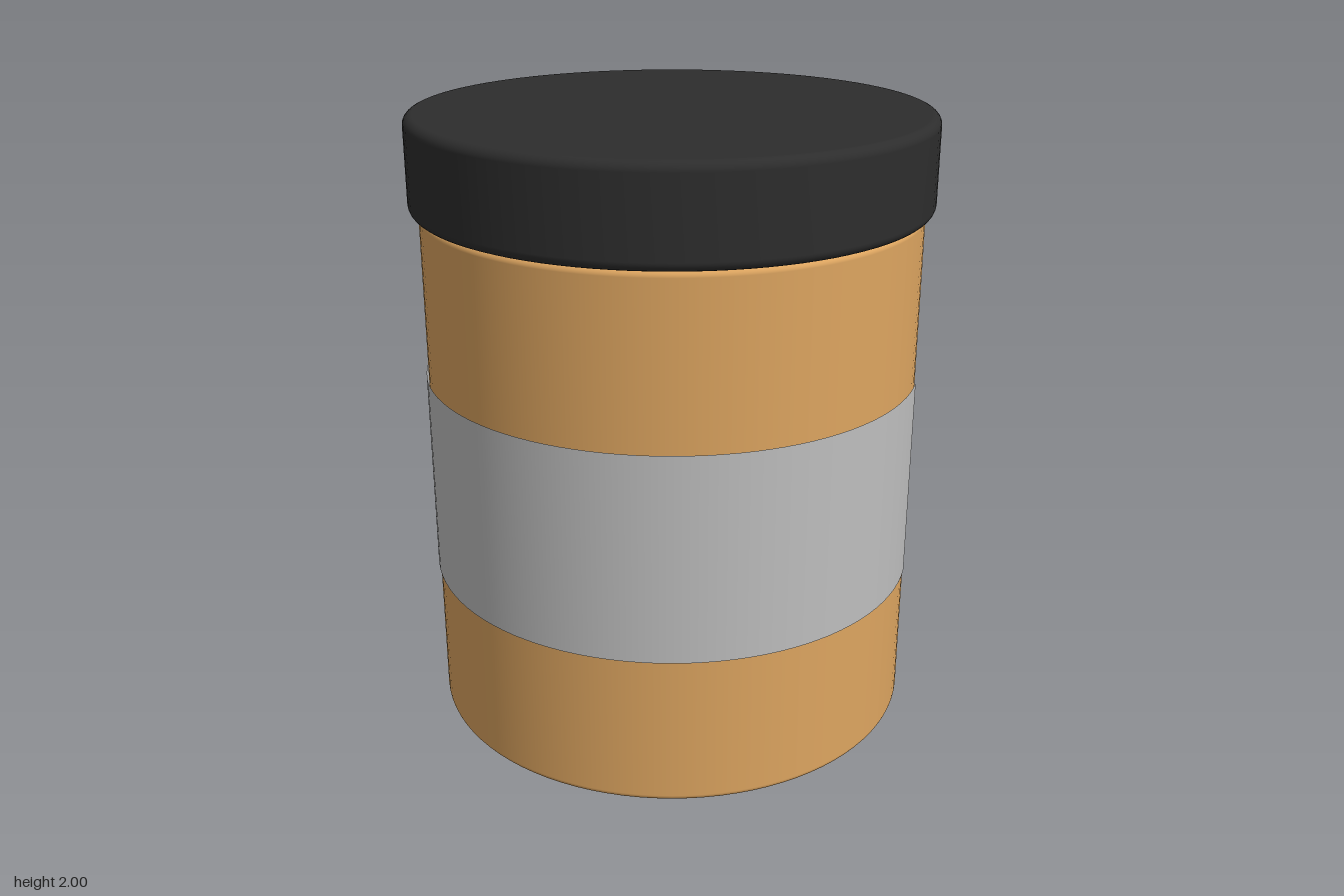
import * as THREE from 'three';

const SEGMENTS = 96;

// Closed solid of revolution with rounded top and bottom rims
function roundedDrum(radius, y0, y1, bevel) {
  const points = [new THREE.Vector2(0, y0)];
  const steps = 6;
  for (let i = 0; i <= steps; i++) {
    const a = (i / steps) * Math.PI / 2;
    points.push(new THREE.Vector2(radius - bevel + bevel * Math.sin(a), y0 + bevel - bevel * Math.cos(a)));
  }
  for (let i = 0; i <= steps; i++) {
    const a = (i / steps) * Math.PI / 2;
    points.push(new THREE.Vector2(radius - bevel + bevel * Math.cos(a), y1 - bevel + bevel * Math.sin(a)));
  }
  points.push(new THREE.Vector2(0, y1));
  return new THREE.LatheGeometry(points, SEGMENTS);
}

export function createModel() {
  const amber = new THREE.MeshStandardMaterial({ color: 0xdda560 });
  amber.name = 'amber body';
  const black = new THREE.MeshStandardMaterial({ color: 0x2d2d2d });
  black.name = 'black lid';
  const grey = new THREE.MeshStandardMaterial({ color: 0xbebebe, side: THREE.DoubleSide });
  grey.name = 'grey label';

  const model = new THREE.Group();
  model.name = 'jar';
  const add = (name, geometry, material) => {
    const mesh = new THREE.Mesh(geometry, material);
    mesh.name = name;
    model.add(mesh);
    return mesh;
  };

  // Jar body and its wider screw lid
  add('body', roundedDrum(0.797, 0, 1.7, 0.02), amber);
  add('lid', roundedDrum(0.828, 1.7, 2, 0.03), black);

  // Label wrapped round the front, leaving the back bare
  const wrap = Math.PI * 1.2;
  const label = add('label', new THREE.CylinderGeometry(0.804, 0.804, 0.67, 64, 1, true, -wrap / 2, wrap), grey);
  label.position.y = 0.832;

  return model;
}
